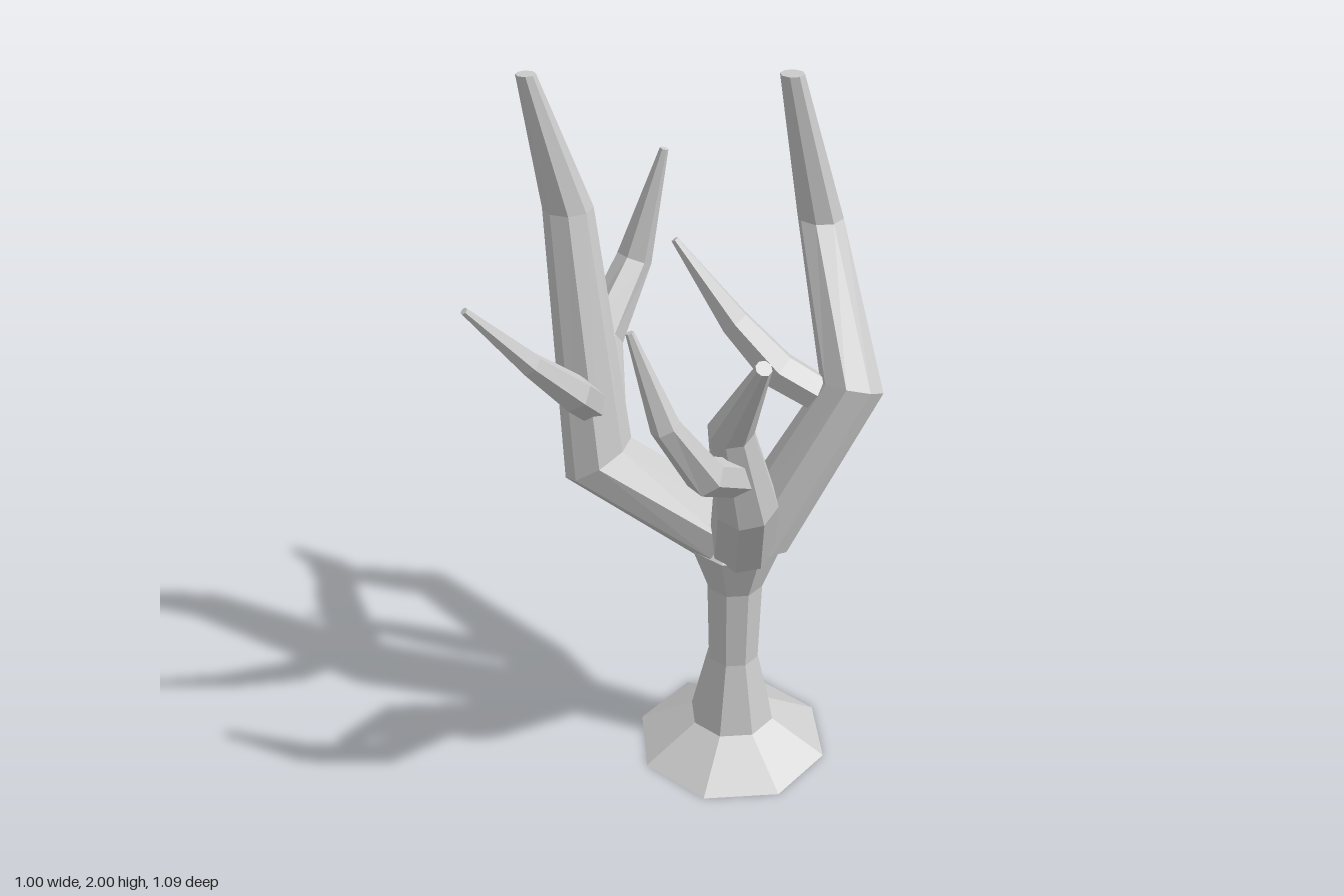
import * as THREE from 'three';

const bark = new THREE.MeshStandardMaterial({ color: 0xcccccc, flatShading: true });

// Faceted tapering limb through points [x, y, z, radius, level]; level keeps that ring horizontal
function limb(name, path, sides) {
  const pts = path.map(p => new THREE.Vector3(p[0], p[1], p[2]));
  const n = pts.length;
  const pos = [], index = [];
  let u = new THREE.Vector3(1, 0, 0.16);
  pts.forEach((p, i) => {
    const t = new THREE.Vector3();
    if (i > 0) t.add(p.clone().sub(pts[i - 1]).normalize());
    if (i < n - 1) t.add(pts[i + 1].clone().sub(p).normalize());
    if (path[i][4]) t.set(0, 1, 0);
    t.normalize();
    // carry the ring's frame along the limb without twisting
    u = u.clone().addScaledVector(t, -u.dot(t)).normalize();
    const v = t.clone().cross(u);
    for (let j = 0; j < sides; j++) {
      const a = (j / sides) * Math.PI * 2;
      const q = p.clone()
        .addScaledVector(u, Math.cos(a) * path[i][3])
        .addScaledVector(v, Math.sin(a) * path[i][3]);
      pos.push(q.x, q.y, q.z);
    }
  });
  const start = n * sides, end = start + 1;
  pos.push(...pts[0].toArray(), ...pts[n - 1].toArray());
  for (let j = 0; j < sides; j++) {
    const k = (j + 1) % sides;
    for (let i = 0; i < n - 1; i++) {
      const a = i * sides + j, b = i * sides + k;
      index.push(a, b, b + sides, a, b + sides, a + sides);
    }
    index.push(start, k, j, end, (n - 1) * sides + j, (n - 1) * sides + k);
  }
  let geo = new THREE.BufferGeometry();
  geo.setAttribute('position', new THREE.Float32BufferAttribute(pos, 3));
  geo.setIndex(index);
  geo = geo.toNonIndexed();
  geo.computeVertexNormals();
  const mesh = new THREE.Mesh(geo, bark);
  mesh.name = name;
  return mesh;
}

export function createModel() {
  const tree = new THREE.Group();
  tree.name = 'bareTree';

  // Trunk with flared foot and spreading crown
  const profile = [[0, 0], [0.28, 0], [0.123, 0.1], [0.073, 0.32], [0.08, 0.57], [0.13, 0.71], [0, 0.8]]
    .map(([r, y]) => new THREE.Vector2(r, y));
  const trunk = new THREE.Mesh(new THREE.LatheGeometry(profile, 8, -0.16), bark);
  trunk.name = 'trunk';
  trunk.position.set(0.055, 0, -0.15);
  tree.add(trunk);

  // Main limbs
  const mains = {
    rightLimb: [[0.05, 0.75, -0.11, 0.095], [-0.2, 0.95, 0.125, 0.105], [-0.305, 1.64, 0.125, 0.065, true], [-0.32, 2, 0.22, 0.025, true]],
    leftLimb: [[0.11, 0.74, -0.13, 0.09], [0.255, 0.99, -0.02, 0.085], [0.29, 1.25, 0.06, 0.058], [0.48, 1.52, 0.12, 0.02]],
    backLimb: [[0.1, 0.74, -0.19, 0.095], [0.215, 1.18, -0.4, 0.085], [-0.04, 1.55, -0.49, 0.062, true], [-0.057, 1.95, -0.39, 0.032, true]],
  };
  for (const name in mains) tree.add(limb(name, mains[name], 8));

  // Side branches growing from the limbs
  const sides = {
    rightOuterBranch: [[-0.22, 1.04, 0.1, 0.07], [-0.41, 1.18, -0.03, 0.065], [-0.455, 1.36, -0.18, 0.05], [-0.415, 1.675, -0.255, 0.012]],
    rightFrontBranch: [[-0.22, 1.08, 0.1, 0.05], [-0.13, 1.22, 0.24, 0.05], [-0.12, 1.35, 0.37, 0.032], [-0.14, 1.535, 0.53, 0.01]],
    leftFrontBranch: [[0.28, 1.09, 0.02, 0.05], [0.36, 1.2, 0.19, 0.05], [0.35, 1.37, 0.3, 0.036], [0.295, 1.605, 0.355, 0.01]],
    backInnerBranch: [[0.2, 1.13, -0.37, 0.05], [0.07, 1.21, -0.27, 0.055], [-0.02, 1.34, -0.19, 0.042], [-0.13, 1.56, -0.08, 0.01]],
  };
  for (const name in sides) tree.add(limb(name, sides[name], 6));

  return tree;
}
